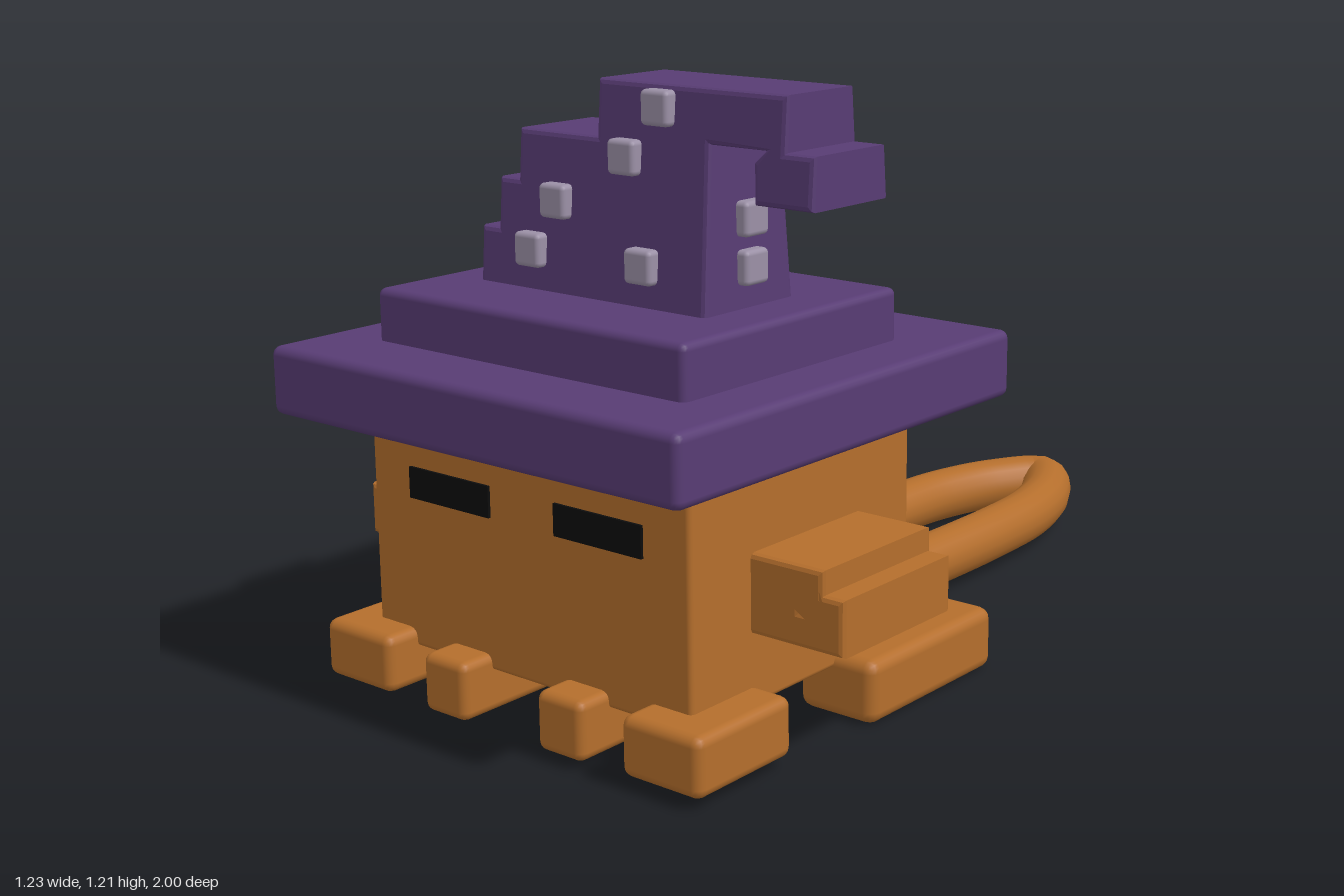
import * as THREE from 'three';
import { RoundedBoxGeometry } from 'three/addons/geometries/RoundedBoxGeometry.js';

const paint = (name, color) => {
  const m = new THREE.MeshStandardMaterial({ color });
  m.name = name;
  return m;
};

export function createModel() {
  const root = new THREE.Group();
  const orange = paint('orange', 0xb46e2c);
  const purple = paint('purple', 0x583c74);
  const grey = paint('stud grey', 0x9b90a6);
  const black = paint('eye black', 0x0c0c0c);

  const add = (name, geometry, material) => {
    const mesh = new THREE.Mesh(geometry, material);
    mesh.name = name;
    root.add(mesh);
    return mesh;
  };

  // Rounded block given by its limits on each axis
  const block = (name, material, x0, x1, y0, y1, z0, z1, r = 0.015) => {
    const g = new RoundedBoxGeometry(x1 - x0, y1 - y0, z1 - z0, 2, r);
    g.translate((x0 + x1) / 2, (y0 + y1) / 2, (z0 + z1) / 2);
    return add(name, g, material);
  };

  // Bevelled slab cut from a front outline, centred on z = 0
  const slab = (points, depth, bevel, hole) => {
    const shape = new THREE.Shape(points.map(([x, y]) => new THREE.Vector2(x, y)));
    if (hole) shape.holes.push(new THREE.Path(hole.map(([x, y]) => new THREE.Vector2(x, y))));
    const g = new THREE.ExtrudeGeometry(shape, {
      depth: depth - 2 * bevel, bevelEnabled: true, bevelThickness: bevel,
      bevelSize: bevel, bevelOffset: -bevel, bevelSegments: 2,
    });
    return g.translate(0, 0, bevel - depth / 2);
  };

  // Head and hat tiers
  block('body', orange, -0.41, 0.407, 0.1, 0.6, 0.2, 0.85, 0.01);
  block('hatBrim', purple, -0.518, 0.515, 0.565, 0.7, 0.01, 1.0, 0.018);
  block('hatBand', purple, -0.39, 0.39, 0.68, 0.803, 0.22, 0.84);

  // Stepped crown with a hooked tip, narrowing in depth towards the top
  const crownZ = 0.535;
  const halfDepth = (y) => 0.127 * (1 - 0.25 * (y - 0.8) / 0.41);
  const crown = slab([
    [-0.29, 0.785], [0.285, 0.785], [0.278, 1.112], [0.405, 1.112], [0.38, 1.09],
    [0.385, 1.015], [0.515, 1.015], [0.515, 1.112], [0.45, 1.112], [0.45, 1.212],
    [0.005, 1.212], [0.005, 1.105], [-0.195, 1.105], [-0.195, 1.008],
    [-0.245, 1.008], [-0.245, 0.91], [-0.29, 0.91],
  ], 0.254, 0.01);
  const p = crown.attributes.position;
  for (let i = 0; i < p.count; i++) {
    p.setZ(i, crownZ + p.getZ(i) * halfDepth(p.getY(i)) / 0.127);
  }
  crown.computeVertexNormals();
  add('hatCrown', crown, purple);

  // Studs on the front and back of the crown
  const s = 0.033;
  for (const [x, y] of [[-0.147, 0.88], [-0.085, 0.978], [0.085, 1.075], [0.162, 1.17], [0.135, 0.88]]) {
    for (const side of [-1, 1]) {
      const z = crownZ + side * halfDepth(y);
      block('hatStud', grey, x - s, x + s, y - s, y + s, z - 0.024, z + 0.024, 0.01);
    }
  }
  // Studs on the left face of the crown
  for (const y of [0.88, 0.97]) {
    block('hatSideStud', grey, 0.26, 0.306, y - s, y + s, crownZ - s, crownZ + s, 0.01);
  }

  // Eye slots, front and back
  for (const x of [-0.193, 0.191]) {
    for (const z of [0.198, 0.852]) {
      const eye = add('eye', new THREE.BoxGeometry(0.215, 0.062, 0.008), black);
      eye.position.set(x, 0.436, z);
    }
  }

  for (const side of [-1, 1]) {
    // Stepped arm with a small square hole through it
    const dy = side < 0 ? -0.012 : 0;
    const sx = (pts) => pts.map(([x, y]) => [side * x, y + dy]);
    const arm = slab(
      sx([[0.38, 0.24], [0.615, 0.24], [0.615, 0.348], [0.57, 0.348], [0.57, 0.394], [0.38, 0.394]]),
      0.33, 0.01,
      sx([[0.517, 0.307], [0.517, 0.343], [0.553, 0.343], [0.553, 0.307]]),
    );
    arm.translate(0, 0, 0.52);
    add('arm', arm, orange);

    // Corner feet and long inner runners
    const foot = (name, a, b, ...rest) =>
      block(name, orange, Math.min(side * a, side * b), Math.max(side * a, side * b), ...rest);
    foot('frontFoot', 0.302, 0.488, 0.02, 0.137, 0.665, 0.925, 0.02);
    foot('backFoot', 0.32, 0.5, 0.0, 0.128, 0.03, 0.44, 0.025);
    foot('runner', 0.094, 0.208, 0.015, 0.132, 0.0, 0.925, 0.018);
  }

  // Tail loop with a pointed end
  const half = [[0.14, 0.06], [0.14, -0.2], [0.14, -0.5], [0.125, -0.68], [0.075, -0.84]];
  const path = [
    ...half.map(([x, z]) => new THREE.Vector3(x, 0.073, z)),
    new THREE.Vector3(0, 0.073, -0.94),
    ...half.map(([x, z]) => new THREE.Vector3(-x, 0.073, z)).reverse(),
  ];
  add('tailLoop', new THREE.TubeGeometry(new THREE.CatmullRomCurve3(path), 90, 0.06, 16), orange);

  // Cross bar and knob joining the tail to the body
  block('tailBar', orange, -0.13, 0.13, 0.02, 0.1, -0.06, 0.12, 0.03);
  const knobPath = new THREE.CatmullRomCurve3([
    new THREE.Vector3(0, 0.125, 0.22), new THREE.Vector3(0, 0.148, 0.09), new THREE.Vector3(0, 0.1, -0.05),
  ]);
  add('tailKnob', new THREE.TubeGeometry(knobPath, 16, 0.04, 12), orange);
  const knobEnd = add('tailKnobEnd', new THREE.SphereGeometry(0.041, 14, 10), orange);
  knobEnd.position.set(0, 0.1, -0.055);

  return root;
}
